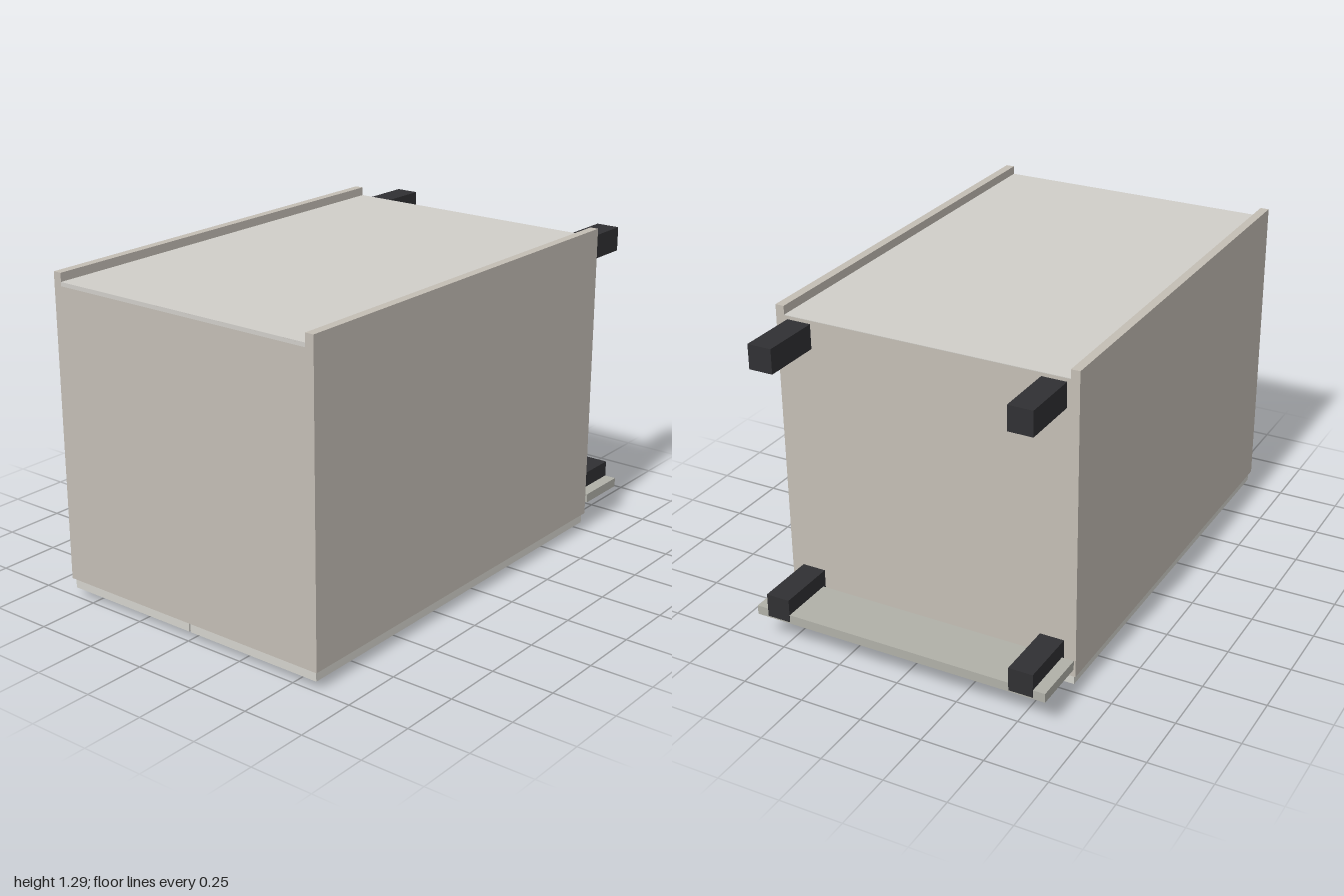
import * as THREE from 'three';

const mat = (color) => new THREE.MeshStandardMaterial({ color });

export function createModel() {
  const model = new THREE.Group();
  model.name = 'cabinet';
  const carcass = mat(0xc4beb5), door = mat(0xd4d3cd), rear = mat(0xd0cec9);
  const kick = mat(0xb0b0a8), black = mat(0x303033), metal = mat(0x858387);

  // Box given by its min and max on each axis
  const box = (name, material, [x0, x1], [y0, y1], [z0, z1]) => {
    const mesh = new THREE.Mesh(new THREE.BoxGeometry(x1 - x0, y1 - y0, z1 - z0), material);
    mesh.position.set((x0 + x1) / 2, (y0 + y1) / 2, (z0 + z1) / 2);
    mesh.name = name;
    model.add(mesh);
  };
  // Ordered x range on the given side
  const span = (s, a, b) => (s > 0 ? [a, b] : [-b, -a]);

  // Cabinet lying on its doors: end panels and the recessed rear panel
  const inner = 0.573;
  box('topBoard', carcass, [-inner, inner], [0.073, 1.257], [0.963, 1]);
  box('baseBoard', carcass, [-inner, inner], [0.073, 1.257], [-0.757, -0.72]);
  box('rearPanel', rear, [-inner, inner], [1.243, 1.259], [-0.757, 1]);

  // Bar with rounded ends, extruded down from the door face
  const w = 0.116, r = 0.0135;
  const bar = new THREE.Shape();
  bar.absarc(w - r, 0, r, -Math.PI / 2, Math.PI / 2);
  bar.absarc(-w + r, 0, r, Math.PI / 2, Math.PI * 1.5);
  bar.closePath();
  const barGeo = new THREE.ExtrudeGeometry(bar, { depth: 0.034, bevelEnabled: false, curveSegments: 8 });
  barGeo.rotateX(Math.PI / 2).translate(0, 0.034, 0);

  for (const s of [1, -1]) {
    const side = s > 0 ? 'left' : 'right';
    box(side + 'SidePanel', carcass, span(s, inner, 0.608), [0.073, 1.293], [-0.757, 1]);
    box(side + 'Door', door, span(s, 0.004, 0.598), [0.033, 0.07], [-0.747, 0.99]);

    const handle = new THREE.Mesh(barGeo, metal);
    handle.position.set(s * 0.301, 0, 0.814);
    handle.name = side + 'Handle';
    model.add(handle);

    // Square legs under the base
    const x = span(s, 0.463, 0.56);
    box(side + 'RearLeg', black, x, [1.147, 1.244], [-1, -0.757]);
    box(side + 'FrontLeg', black, x, [0.122, 0.217], [-1, -0.757]);
  }

  // Plinth board clipped to the front legs
  box('plinth', kick, [-0.608, 0.608], [0.116, 0.153], [-0.999, -0.773]);
  return model;
}
